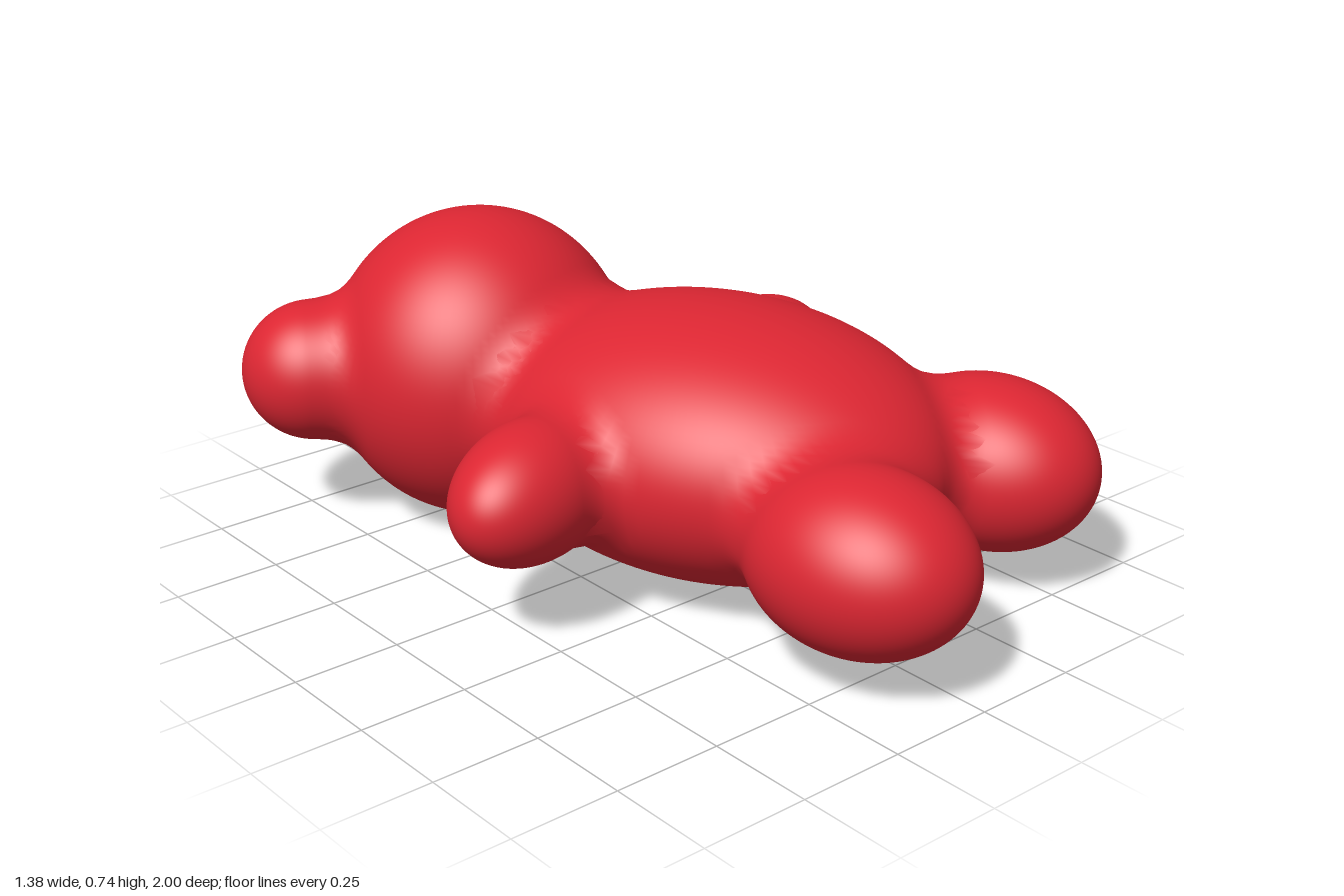
import * as THREE from 'three';

// Each part: an ellipsoid with centre, half sizes and turn about the vertical
const parts = [
  { name: 'body', c: [0.035, 0.322, 0.13], r: [0.42, 0.308, 0.57], turn: 0.31 },
  { name: 'head', c: [-0.17, 0.37, -0.485], r: [0.365, 0.368, 0.355], turn: 0.31 },
  { name: 'leftEar', c: [0.01, 0.375, -0.833], r: [0.167, 0.165, 0.167], turn: 0.31 },
  { name: 'rightEar', c: [-0.515, 0.375, -0.673], r: [0.167, 0.165, 0.167], turn: 0.31 },
  { name: 'leftArm', c: [0.425, 0.32, -0.152], r: [0.225, 0.154, 0.15], turn: 0.22 },
  { name: 'rightArm', c: [-0.47, 0.325, 0.12], r: [0.228, 0.154, 0.148], turn: 0.33 },
  { name: 'leftLeg', c: [0.475, 0.273, 0.56], r: [0.21, 0.198, 0.263], turn: 0.2 },
  { name: 'rightLeg', c: [-0.098, 0.273, 0.73], r: [0.214, 0.198, 0.267], turn: 0.1 },
];
const BLEND = 0.08;

// Approximate signed distance to one ellipsoid
function distance(part, x, y, z) {
  const dx = x - part.c[0], dy = y - part.c[1], dz = z - part.c[2];
  const cos = Math.cos(part.turn), sin = Math.sin(part.turn);
  const [a, b, c] = part.r;
  const u = (dx * cos - dz * sin) / a, v = dy / b, w = (dx * sin + dz * cos) / c;
  const k0 = Math.hypot(u, v, w);
  const k1 = Math.hypot(u / a, v / b, w / c);
  return k1 < 1e-6 ? -Math.min(a, b, c) : (k0 * (k0 - 1)) / k1;
}

// Smooth union of all the ellipsoids, giving soft fillets at the joints
function field(x, y, z) {
  let d = 10;
  for (const part of parts) {
    const e = distance(part, x, y, z);
    const h = Math.max(BLEND - Math.abs(d - e), 0) / BLEND;
    d = Math.min(d, e) - h * h * BLEND * 0.25;
  }
  return d;
}

// Moves a part's sphere vertices outwards onto the blended skin
function blendedGeometry(part) {
  const geometry = new THREE.SphereGeometry(1, 112, 72);
  const pos = geometry.attributes.position, normals = geometry.attributes.normal;
  const centre = new THREE.Vector3(...part.c), up = new THREE.Vector3(0, 1, 0);
  const ray = new THREE.Vector3(), p = new THREE.Vector3(), n = new THREE.Vector3();
  const at = (t) => p.copy(centre).addScaledVector(ray, t);
  const sample = (t) => { at(t); return field(p.x, p.y, p.z); };

  for (let i = 0; i < pos.count; i++) {
    ray.fromBufferAttribute(pos, i).multiply(new THREE.Vector3(...part.r)).applyAxisAngle(up, part.turn);
    // Vertices buried in a neighbour stop a little beyond their own ellipsoid
    let low = 0.9, high = 1.16;
    if (sample(high) < 0) low = high;
    for (let k = 0; k < 18 && low < high; k++) {
      const mid = (low + high) / 2;
      if (sample(mid) < 0) low = mid; else high = mid;
    }
    at(low);
    const e = 0.002;
    n.set(
      field(p.x + e, p.y, p.z) - field(p.x - e, p.y, p.z),
      field(p.x, p.y + e, p.z) - field(p.x, p.y - e, p.z),
      field(p.x, p.y, p.z + e) - field(p.x, p.y, p.z - e),
    ).normalize();
    pos.setXYZ(i, p.x, p.y, p.z);
    normals.setXYZ(i, n.x, n.y, n.z);
  }
  return geometry;
}

export function createModel() {
  const group = new THREE.Group();
  group.name = 'softBear';
  const red = new THREE.MeshStandardMaterial({ color: 0xdc2632 });
  red.name = 'candy red';
  for (const part of parts) {
    const mesh = new THREE.Mesh(blendedGeometry(part), red);
    mesh.name = part.name;
    group.add(mesh);
  }
  return group;
}
